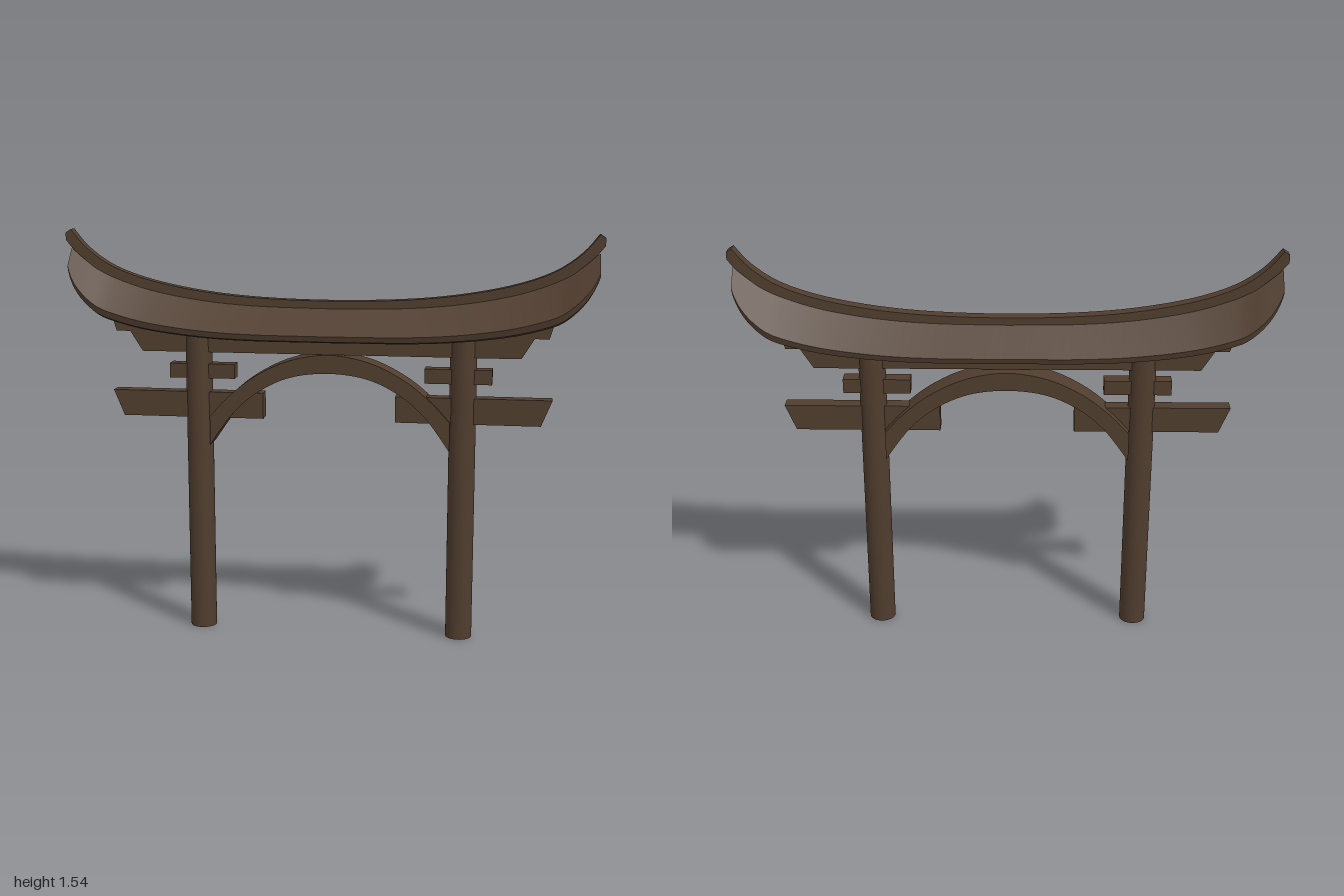
import * as THREE from 'three';
import { toCreasedNormals } from 'three/addons/utils/BufferGeometryUtils.js';

const wood = new THREE.MeshStandardMaterial({ color: 0x503d2e });
wood.name = 'dark wood';
const metal = new THREE.MeshStandardMaterial({ color: 0x8f8b87 });
metal.name = 'grey collar';

const v2 = (p) => new THREE.Vector2(p[0], p[1]);
const mirror = (pts) => [...pts].reverse().map(([x, y]) => [-x, y]);
// Full-width smooth curve from points listed from the centre outwards
const symCurve = (pts, n = 48) =>
  new THREE.SplineCurve([...mirror(pts.slice(1)), ...pts].map(v2)).getPoints(n);

// Extrudes an xy outline between two depths
function slab(name, points, z0, z1) {
  const geo = new THREE.ExtrudeGeometry(new THREE.Shape(points), { depth: z1 - z0, bevelEnabled: false });
  geo.translate(0, 0, z0);
  const mesh = new THREE.Mesh(toCreasedNormals(geo, 0.5), wood);
  mesh.name = name;
  return mesh;
}

// Canopy: a stepped hollow section swept along x, narrowing at the rounded ends
function roofGeometry() {
  const line = new THREE.SplineCurve([[0, 1.275], [0.26, 1.28], [0.47, 1.298], [0.67, 1.335],
    [0.82, 1.385], [0.92, 1.437], [0.985, 1.47]].map(v2)).getPoints(60);
  const rise = (x) => {
    const i = Math.max(1, line.findIndex((p) => p.x >= x - 1e-6));
    const a = line[i - 1], b = line[i];
    return a.y + (b.y - a.y) * (x - a.x) / (b.x - a.x);
  };
  const half = [[0, 0], [1, 0.8], [0.95, 0.95], [0.78, 1], [0.7, 0.65], [0.5, 0.72]];
  const section = [...half, ...mirror(half.slice(1))];
  const steps = 80, end = 0.985;
  const ring = [];
  for (let i = 0; i <= steps; i++) {
    const x = end * Math.sin((i / steps - 0.5) * Math.PI);
    const ax = Math.abs(x);
    const t = Math.max(0, (ax - 0.8) / 0.2);
    const k = Math.sqrt(1 - t ** 3);
    const drop = (0.135 + 0.04 * Math.min(1, ax / 0.85) ** 2) * k;
    ring.push(section.map(([z, d]) => [x, rise(ax) - d * drop, z * 0.13 * k]));
  }
  const pos = [], index = [];
  const n = section.length;
  for (let j = 0; j < n; j++) {
    const base = pos.length / 3;
    for (const r of ring) pos.push(...r[j], ...r[(j + 1) % n]);
    for (let i = 0; i < steps; i++) {
      const a = base + i * 2;
      index.push(a, a + 1, a + 2, a + 1, a + 3, a + 2);
    }
  }
  // End caps
  const faces = THREE.ShapeUtils.triangulateShape(section.map(v2), []);
  for (const r of [ring[0], ring[steps]]) {
    const base = pos.length / 3;
    r.forEach((p) => pos.push(...p));
    for (const [a, b, c] of faces) {
      const s = (section[b][0] - section[a][0]) * (section[c][1] - section[a][1])
        - (section[b][1] - section[a][1]) * (section[c][0] - section[a][0]);
      const flip = (s > 0) !== (r === ring[steps]);
      index.push(base + a, base + (flip ? c : b), base + (flip ? b : c));
    }
  }
  const geo = new THREE.BufferGeometry();
  geo.setAttribute('position', new THREE.Float32BufferAttribute(pos, 3));
  geo.setIndex(index);
  geo.computeVertexNormals();
  return geo;
}

export function createModel() {
  const model = new THREE.Group();
  model.name = 'gateway';

  const roof = new THREE.Mesh(roofGeometry(), wood);
  roof.name = 'roof';
  model.add(roof);

  // Ridge cap with upturned tips
  const top = symCurve([[0, 1.285], [0.26, 1.292], [0.47, 1.312], [0.67, 1.35], [0.82, 1.402], [0.92, 1.47], [0.98, 1.54]]);
  const under = symCurve([[0, 1.24], [0.26, 1.245], [0.47, 1.265], [0.67, 1.3], [0.82, 1.35], [0.95, 1.445], [1, 1.5]]);
  model.add(slab('ridge', [...under, v2([1, 1.527]), ...top.reverse(), v2([-1, 1.527])], -0.022, 0.022));

  // Stacked lintels with slanted ends
  const lintel = (name, y0, y1, x0, x1) =>
    model.add(slab(name, [[-x0, y0], [x0, y0], [x1, y1], [-x1, y1]].map(v2), -0.027, 0.027));
  lintel('lowerLintel', 1.085, 1.165, 0.712, 0.762);
  lintel('upperLintel', 1.16, 1.24, 0.812, 0.835);

  // Arch between the pillars
  const outer = symCurve([[0, 1.085], [0.15, 1.06], [0.28, 0.998], [0.38, 0.92], [0.455, 0.84]]);
  const inner = symCurve([[0, 1.015], [0.14, 0.998], [0.257, 0.945], [0.36, 0.86], [0.455, 0.73]]);
  model.add(slab('arch', [...inner, ...outer.reverse()], -0.063, 0.037));

  for (const s of [1, -1]) {
    const side = new THREE.Group();
    side.name = s > 0 ? 'leftSupport' : 'rightSupport';
    // Pillar and its collar
    const pillar = new THREE.Mesh(new THREE.CylinderGeometry(0.05, 0.05, 1.15, 32), wood);
    pillar.name = 'pillar';
    pillar.position.set(s * 0.5, 0.575, 0);
    const collar = new THREE.Mesh(new THREE.CylinderGeometry(0.05, 0.05, 0.015, 32), metal);
    collar.name = 'collar';
    collar.position.set(s * 0.5, 1.1575, 0);
    // Short cross bars
    const bar = new THREE.Mesh(new THREE.BoxGeometry(0.25, 0.055, 0.054), wood);
    bar.name = 'smallCrossBar';
    bar.position.set(s * 0.483, 1.013, 0);
    const tie = [[0.25, 0.835], [0.79, 0.835], [0.83, 0.933], [0.25, 0.933]];
    side.add(pillar, collar, bar, slab('tieBeam', tie.map(([x, y]) => v2([s * x, y])), -0.027, 0.027));
    model.add(side);
  }
  return model;
}
